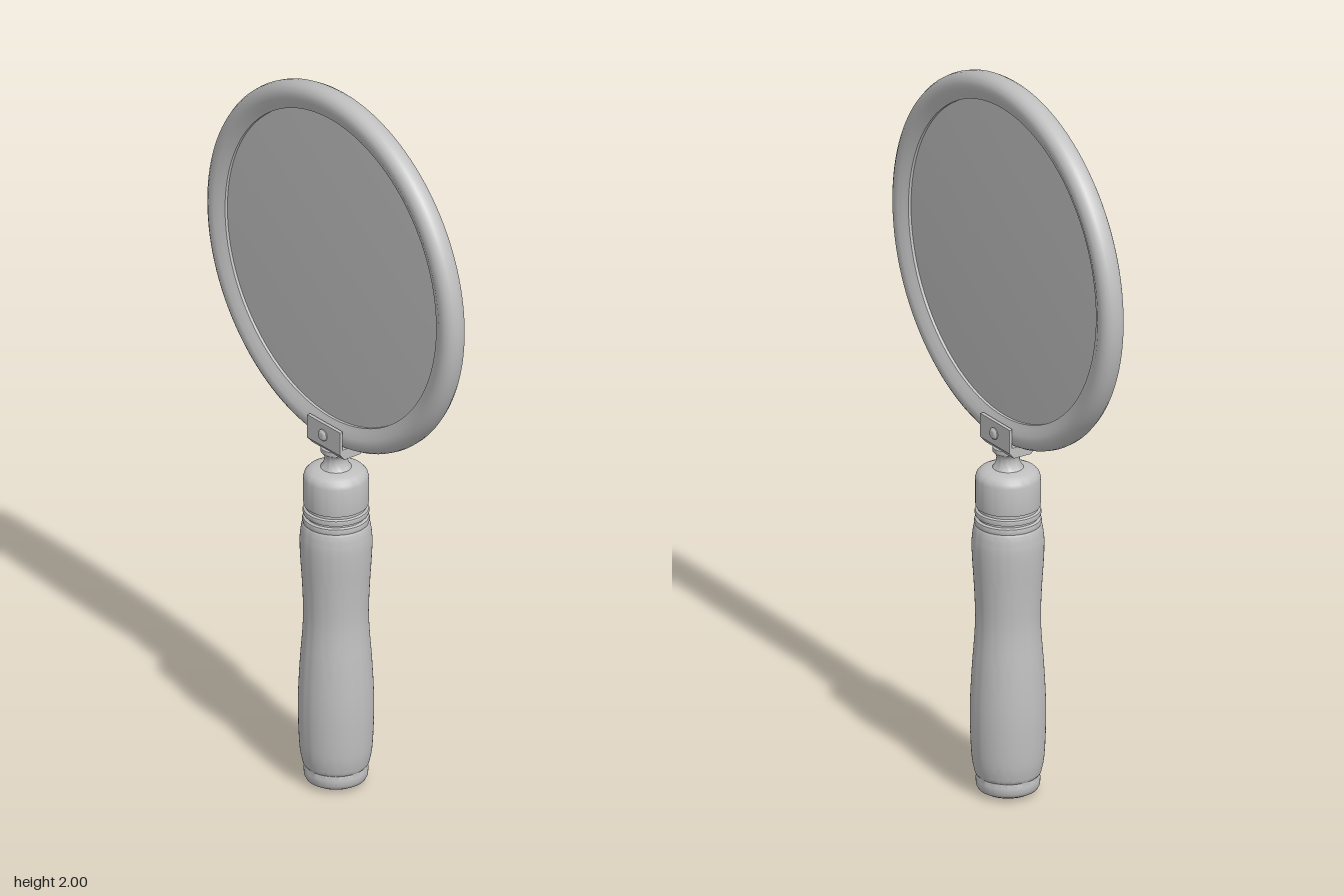
import * as THREE from 'three';
import { toCreasedNormals } from 'three/addons/utils/BufferGeometryUtils.js';

const CENTER_Y = 1.495;

// Turned part from [radius, height] points, with sharp edges kept
function turned(points, segments = 64, crease = 0.6) {
  const profile = points.map(([r, y]) => new THREE.Vector2(r, y));
  return toCreasedNormals(new THREE.LatheGeometry(profile, segments), crease);
}

export function createModel() {
  const model = new THREE.Group();
  model.name = 'magnifyingGlass';
  const grey = new THREE.MeshStandardMaterial({ color: 0xc0c0c0 });
  grey.name = 'plain grey';

  const add = (name, geometry, x = 0, y = 0, z = 0, parent = model) => {
    const mesh = new THREE.Mesh(geometry, grey);
    mesh.name = name;
    mesh.position.set(x, y, z);
    parent.add(mesh);
    return mesh;
  };

  // Round rim: a rounded band turned about the z axis
  const rim = turned([
    [0.433, -0.018], [0.446, -0.024], [0.462, -0.032], [0.474, -0.034], [0.486, -0.032],
    [0.497, -0.025], [0.503, -0.014], [0.505, 0], [0.503, 0.014], [0.497, 0.025],
    [0.486, 0.032], [0.474, 0.034], [0.462, 0.032], [0.446, 0.024], [0.433, 0.018],
    [0.433, -0.018],
  ], 128);
  rim.rotateX(Math.PI / 2);
  add('rim', rim, 0, CENTER_Y);

  // Slightly domed lens
  const dome = [];
  for (let i = 0; i <= 8; i++) dome.push([0.436 * i / 8, -0.01 - 0.006 * (1 - (i / 8) ** 2)]);
  const lens = turned([...dome, ...dome.map(([r, y]) => [r, -y]).reverse()], 128);
  lens.rotateX(Math.PI / 2);
  add('lens', lens, 0, CENTER_Y);

  // Clamp: U-shaped bracket cut from a side outline, holding the rim
  const side = new THREE.Shape();
  [[-0.026, 0.968], [0.026, 0.968], [0.041, 0.985], [0.041, 1.05], [0.033, 1.05], [0.033, 0.998],
    [-0.033, 0.998], [-0.033, 1.05], [-0.041, 1.05], [-0.041, 0.985]]
    .forEach(([z, y], i) => (i ? side.lineTo(z, y) : side.moveTo(z, y)));
  side.closePath();
  const clamp = new THREE.ExtrudeGeometry(side, {
    depth: 0.132, bevelEnabled: true, bevelThickness: 0.002, bevelSize: 0.001, bevelSegments: 1,
  });
  clamp.translate(0, 0, -0.066);
  clamp.rotateY(-Math.PI / 2);
  add('clamp', clamp);

  // Screws on both faces of the clamp
  for (const s of [1, -1]) {
    const screw = new THREE.Group();
    screw.name = s > 0 ? 'frontScrew' : 'backScrew';
    screw.position.set(0, 1.018, 0.04 * s);
    screw.rotation.x = s * Math.PI / 2;
    add('screwHead', turned([[0.016, 0], [0.016, 0.005], [0.012, 0.01], [0.006, 0.012], [0, 0.012]], 24), 0, 0, 0, screw);
    model.add(screw);
  }

  // Neck between clamp and ferrule
  add('neck', turned([
    [0.042, 0.912], [0.036, 0.92], [0.031, 0.932], [0.03, 0.945],
    [0.034, 0.954], [0.04, 0.96], [0.04, 0.972], [0, 0.972],
  ], 48));

  // Ferrule with grooved rings at its foot
  add('ferrule', turned([
    [0.076, 0.755], [0.086, 0.757], [0.088, 0.764], [0.086, 0.772], [0.079, 0.775],
    [0.079, 0.78], [0.085, 0.782], [0.087, 0.789], [0.085, 0.796], [0.079, 0.799],
    [0.079, 0.806], [0.084, 0.808], [0.085, 0.815], [0.085, 0.885], [0.082, 0.896],
    [0.074, 0.905], [0.06, 0.911], [0.042, 0.914], [0, 0.914],
  ]));

  // Waisted grip, with smooth curve between the turned foot and the ferrule
  const swell = new THREE.SplineCurve([
    [0.086, 0.058], [0.094, 0.1], [0.098, 0.18], [0.098, 0.26], [0.093, 0.36], [0.087, 0.44],
    [0.085, 0.5], [0.088, 0.58], [0.093, 0.66], [0.094, 0.71], [0.09, 0.745], [0.086, 0.757],
  ].map(([r, y]) => new THREE.Vector2(r, y))).getPoints(44).map((p) => [p.x, p.y]);
  add('grip', turned([
    [0, 0], [0.04, 0.002], [0.066, 0.007], [0.078, 0.014], [0.083, 0.024], [0.084, 0.04], [0.081, 0.052],
    ...swell, [0.07, 0.76],
  ]));

  return model;
}
